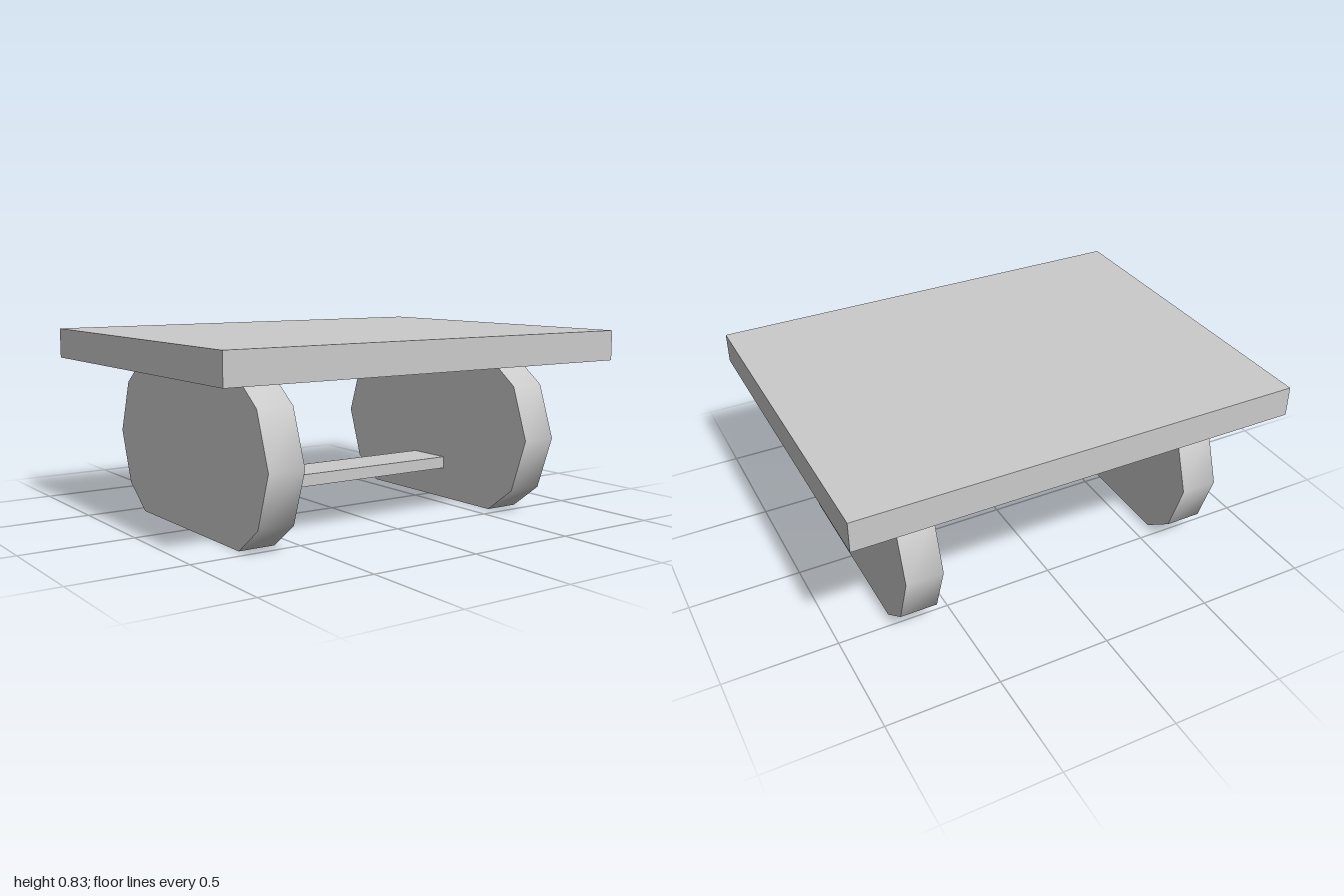
import * as THREE from 'three';
import { toCreasedNormals } from 'three/addons/utils/BufferGeometryUtils.js';

const LEG_INNER = 0.585, LEG_OUTER = 0.75;

// opens a solid into a shell: keeps only the triangles whose normal passes the test
function openShell(solid, keep) {
  const source = solid.index ? solid.toNonIndexed() : solid;
  const position = source.attributes.position;
  const triangle = new THREE.Triangle(), normal = new THREE.Vector3();
  const points = [];
  for (let i = 0; i < position.count; i += 3) {
    triangle.setFromAttributeAndIndices(position, i, i + 1, i + 2);
    triangle.getNormal(normal);
    if (keep(normal)) points.push(triangle.a.clone(), triangle.b.clone(), triangle.c.clone());
  }
  const shell = new THREE.BufferGeometry().setFromPoints(points);
  return toCreasedNormals(shell, 0.7);
}

export function createModel() {
  const table = new THREE.Group();
  table.name = 'table';
  const grey = new THREE.MeshStandardMaterial({ color: 0xcacaca, side: THREE.DoubleSide });
  grey.name = 'grey';

  const add = (name, geometry, x, y) => {
    const mesh = new THREE.Mesh(geometry, grey);
    mesh.name = name;
    mesh.position.set(x, y, 0);
    table.add(mesh);
  };

  // rectangular top with a deep apron, hollow underneath
  const top = new THREE.BoxGeometry(2, 0.135, 1.556);
  add('tableTop', openShell(top, (n) => n.y > -0.9), 0, 0.7675);

  // rounded slab leg, mirrored front to back, open at the flat top and bottom
  const half = [[0.435, 0], [0.585, 0.112], [0.668, 0.35], [0.585, 0.588], [0.435, 0.7]];
  const outline = [...half, ...half.map(([z, y]) => [-z, y]).reverse()];
  const shape = new THREE.Shape(outline.map(([z, y]) => new THREE.Vector2(z, y)));
  const slab = new THREE.ExtrudeGeometry(shape, { depth: LEG_OUTER - LEG_INNER, bevelEnabled: false });
  slab.center();
  slab.rotateY(Math.PI / 2);
  const leg = openShell(slab, (n) => Math.abs(n.y) < 0.9);
  for (const [name, side] of [['leftLeg', 1], ['rightLeg', -1]]) {
    add(name, leg, side * (LEG_INNER + LEG_OUTER) / 2, 0.35);
  }

  // stretcher between the legs: a channel open underneath and at its ends
  const bar = new THREE.BoxGeometry(2 * LEG_INNER, 0.055, 0.22);
  add('stretcher', openShell(bar, (n) => n.y > -0.9 && Math.abs(n.x) < 0.9), 0, 0.1725);
  return table;
}
